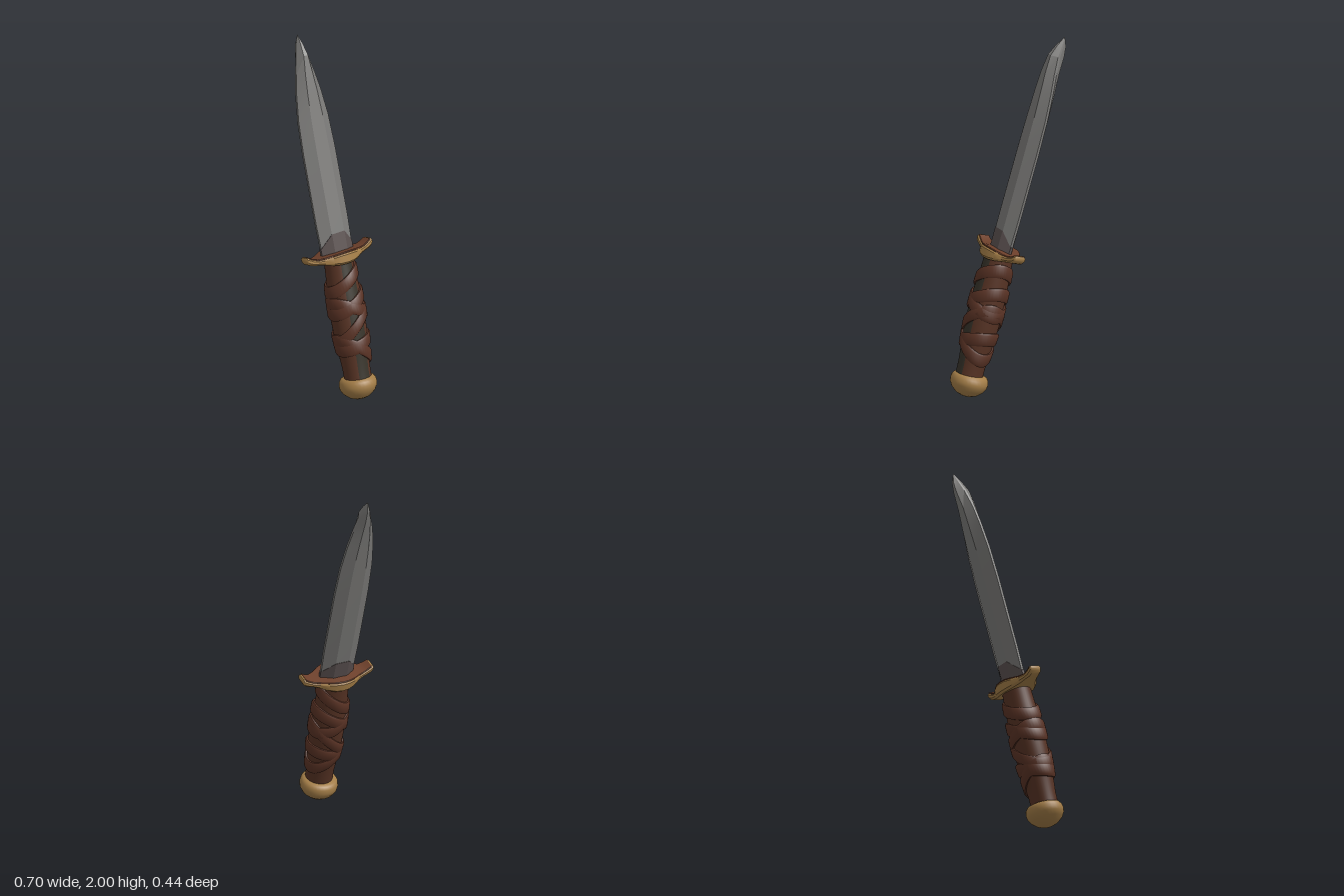
import * as THREE from 'three';
import { toCreasedNormals } from 'three/addons/utils/BufferGeometryUtils.js';

const mat = (name, color, side = THREE.FrontSide) => {
  const m = new THREE.MeshStandardMaterial({ color, side });
  m.name = name;
  return m;
};

// Skin a list of equal-sized point rings, with optional end caps
function loft(rings, caps = true, crease = 0.6) {
  const n = rings[0].length, pos = rings.flat(2), idx = [];
  for (let i = 0; i < rings.length - 1; i++) {
    for (let j = 0; j < n; j++) {
      const a = i * n + j, b = i * n + (j + 1) % n;
      idx.push(a, b, b + n, a, b + n, a + n);
    }
  }
  if (caps) {
    const e = (rings.length - 1) * n;
    for (let j = 1; j < n - 1; j++) idx.push(0, j + 1, j, e, e + j, e + j + 1);
  }
  const g = new THREE.BufferGeometry();
  g.setAttribute('position', new THREE.Float32BufferAttribute(pos, 3));
  g.setIndex(idx);
  return toCreasedNormals(g, crease);
}

// Eight-sided blade section: flat faces, bevels and blunt edges
function bladeRing(v, width, thick, cu = 0, cz = 0, faceV = v) {
  const f = width * 0.4, e = thick * 0.16;
  return [[thick, f], [thick, -f], [e, -width], [-e, -width],
    [-thick, -f], [-thick, f], [-e, width], [e, width]]
    .map(([u, z]) => [u + cu, Math.abs(u) === thick ? faceV : v, z + cz]);
}

// Guard stations: z, half width, bottom, top
const guardHalf = [[0, 0.105, -0.036, 0.03], [0.04, 0.1, -0.035, 0.029], [0.08, 0.084, -0.03, 0.024],
  [0.12, 0.06, -0.02, 0.018], [0.155, 0.046, -0.012, 0.018], [0.185, 0.041, -0.008, 0.03],
  [0.205, 0.039, 0, 0.042], [0.216, 0.035, 0.012, 0.043], [0.221, 0.028, 0.022, 0.036]];
const guardStations = [
  ...guardHalf.slice(1).reverse().map(([z, ...r]) => [-z, ...r]), ...guardHalf];

function guardRing([z, w, lo, hi]) {
  const c = Math.min(0.012, (hi - lo) * 0.3);
  return [[w - c, lo], [w, lo + c], [w, hi - c], [w - c, hi],
    [c - w, hi], [-w, hi - c], [-w, lo + c], [c - w, lo]].map(([u, v]) => [u, v, z]);
}

// Grip radius along the handle
const gripProfile = [[0.076, -0.71], [0.077, -0.64], [0.084, -0.56], [0.093, -0.45], [0.096, -0.35],
  [0.093, -0.22], [0.085, -0.12], [0.08, -0.02]].map(p => new THREE.Vector2(...p));

function gripRadius(v) {
  for (let i = 1; i < gripProfile.length; i++) {
    const a = gripProfile[i - 1], b = gripProfile[i];
    if (v <= b.y) return a.x + (b.x - a.x) * Math.max(0, (v - a.y) / (b.y - a.y));
  }
  return 0.08;
}

// Tilted leather strap looped around the grip
function strap(v0, tilt, phase, width = 0.075) {
  const rings = [], h = width / 2;
  for (let i = 0; i <= 40; i++) {
    const a = i / 40 * Math.PI * 2, v = v0 + tilt * Math.cos(a - phase);
    rings.push([[0.008, -h], [0.014, -h * 0.7], [0.015, h * 0.7], [0.009, h], [-0.012, h], [-0.012, -h]]
      .map(([d, dv]) => {
        const r = gripRadius(v + dv) + d;
        return [r * Math.cos(a), v + dv, r * Math.sin(a)];
      }));
  }
  return loft(rings, false, 0.8);
}

export function createModel() {
  const steel = mat('steel', 0x7b7a78);
  const stain = mat('darkened steel', 0x5b5150);
  const brass = mat('brass', 0xa37d47);
  const guardLeather = mat('guard brown', 0x6c3f2a);
  const leather = mat('grip leather', 0x573324);
  const strapLeather = mat('strap leather', 0x5a3325);
  const dark = mat('dark grip', 0x37332a);

  const model = new THREE.Group();
  model.name = 'dagger';
  const body = new THREE.Group();
  body.name = 'tiltedDagger';
  body.position.set(0.045, 0.8, 0);
  body.rotation.z = 0.277;
  model.add(body);
  const add = (name, geometry, material, parent = body) => {
    const m = new THREE.Mesh(geometry, material);
    m.name = name;
    parent.add(m);
    return m;
  };

  // Blade, leaning slightly more than the handle
  const bladeGroup = new THREE.Group();
  bladeGroup.name = 'bladeGroup';
  bladeGroup.rotation.z = 0.027;
  body.add(bladeGroup);
  const blade = [[0.0, 0.1, 0.046], [0.2, 0.106, 0.047], [0.6, 0.106, 0.047], [0.79, 0.099, 0.046],
    [0.94, 0.081, 0.046], [1.05, 0.06, 0.045], [1.15, 0.035, 0.044, -0.005, -0.005],
    [1.21, 0.019, 0.028, -0.016, -0.009], [1.262, 0.001, 0.002, -0.022, -0.012]];
  add('blade', loft(blade.map(s => bladeRing(...s)), true, 0.2), steel, bladeGroup);
  add('bladeBase', loft([bladeRing(0, 0.103, 0.049), bladeRing(0.06, 0.105, 0.049, 0, 0, 0.135)], true, 0.2),
    stain, bladeGroup);

  // Cross guard with upturned ends and a brown upper face
  add('guard', loft(guardStations.map(guardRing), true, 0.7), brass);
  const topStations = guardStations.filter(s => Math.abs(s[0]) < 0.21)
    .map(([z, w, , hi]) => [z, w - 0.006, hi - 0.006, hi + 0.003]);
  add('guardTop', loft(topStations.map(guardRing), true, 0.7), guardLeather);

  // Grip, with a dark strip showing between the straps on one side
  const half = 0.45;
  add('grip', new THREE.LatheGeometry(gripProfile, 32, Math.PI / 2 + half, Math.PI * 2 - 2 * half), leather);
  add('gripStrip', new THREE.LatheGeometry(gripProfile, 8, Math.PI / 2 - half, 2 * half), dark);

  // Straps: height, tilt, direction of the high side
  [[-0.14, 0.055, -1.4], [-0.265, 0.05, -1.7], [-0.3, 0.045, 1.5], [-0.4, 0.085, -1.4],
    [-0.5, 0.025, -1.9], [-0.535, 0.065, 1.5]]
    .forEach(([v, tilt, phase]) => add('strap', strap(v, tilt, phase), strapLeather));

  // Mushroom pommel
  const pommel = [[0, -0.826], [0.03, -0.823], [0.06, -0.811], [0.09, -0.785], [0.104, -0.76], [0.107, -0.74],
    [0.103, -0.718], [0.092, -0.703], [0.075, -0.697], [0, -0.695]].map(p => new THREE.Vector2(...p));
  add('pommel', new THREE.LatheGeometry(pommel, 32), brass).position.x = -0.01;

  return model;
}
